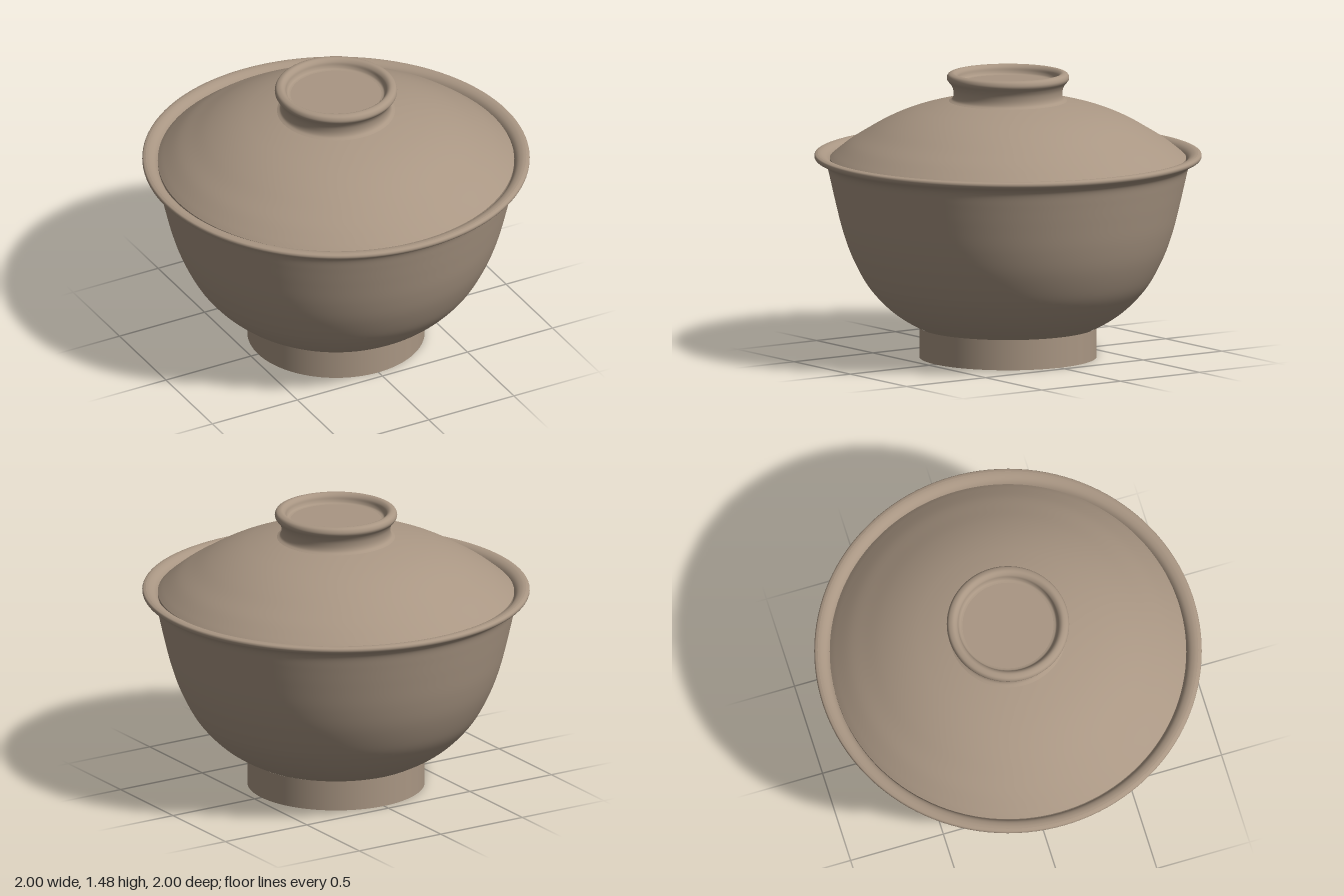
import * as THREE from 'three';

const clay = new THREE.MeshStandardMaterial({ color: 0xa99683 });
clay.name = 'clay';

const SIDES = 128;

// Turns a profile given as [radius, y] points; smooth profiles run through a spline
function turned(name, profile, steps = 0) {
  let pts = profile.map(([r, y]) => new THREE.Vector2(r, y));
  if (steps) pts = new THREE.SplineCurve(pts).getPoints(steps);
  pts.forEach((p) => { p.x = Math.max(p.x, 0); });
  const mesh = new THREE.Mesh(new THREE.LatheGeometry(pts, SIDES), clay);
  mesh.name = name;
  return mesh;
}

function part(name, ...meshes) {
  const group = new THREE.Group();
  group.name = name;
  group.add(...meshes);
  return group;
}

export function createModel() {
  const model = new THREE.Group();
  model.name = 'liddedBowl';

  // Foot ring with a shallow recess underneath
  model.add(part('foot',
    turned('footRecessFloor', [[0, 0.09], [0.31, 0.09]]),
    turned('footRecessWall', [[0.31, 0.09], [0.335, 0.083], [0.357, 0.06], [0.37, 0.03], [0.375, 0]], 16),
    turned('footBottom', [[0.375, 0], [0.458, 0]]),
    turned('footSide', [[0.458, 0], [0.458, 0.158]]),
  ));

  // Bowl wall, flared rim and hollow inside
  model.add(part('bowl',
    turned('bowlWall', [
      [0.455, 0.157], [0.535, 0.2], [0.61, 0.254], [0.682, 0.325], [0.745, 0.41], [0.81, 0.54],
      [0.855, 0.67], [0.89, 0.81], [0.915, 0.92], [0.931, 0.985], [0.95, 1.012], [0.975, 1.025],
      [0.993, 1.035], [1.0, 1.048], [0.996, 1.06], [0.982, 1.065],
    ], 90),
    turned('rimTop', [[0.982, 1.065], [0.965, 1.064], [0.945, 1.056], [0.93, 1.042], [0.918, 1.02], [0.905, 0.985]], 20),
    turned('bowlInside', [
      [0.905, 0.985], [0.865, 0.81], [0.825, 0.66], [0.775, 0.53], [0.7, 0.41], [0.6, 0.31], [0.45, 0.23],
      [0.25, 0.19], [0, 0.18],
    ], 40),
  ));

  // Domed lid resting inside the rim
  model.add(part('lid',
    turned('lidUnderside', [[0, 1.31], [0.28, 1.29], [0.55, 1.21], [0.75, 1.11], [0.9, 1.0]], 30),
    turned('lidEdge', [[0.9, 1.0], [0.918, 1.01], [0.92, 1.04]]),
    turned('lidDome', [
      [0.92, 1.04], [0.89, 1.066], [0.82, 1.12], [0.74, 1.17], [0.66, 1.217], [0.58, 1.256],
      [0.5, 1.287], [0.42, 1.311], [0.35, 1.328], [0.28, 1.342],
    ], 50),
  ));

  // Ring-shaped grip with a sunken top
  model.add(part('grip',
    turned('gripRing', [
      [0.305, 1.337], [0.288, 1.348], [0.281, 1.37], [0.284, 1.4], [0.296, 1.425], [0.312, 1.444],
      [0.316, 1.46], [0.308, 1.477], [0.29, 1.484], [0.275, 1.481], [0.262, 1.468], [0.256, 1.45],
      [0.248, 1.438], [0.235, 1.434],
    ], 60),
    turned('gripFloor', [[0.235, 1.434], [0, 1.434]]),
  ));

  return model;
}
